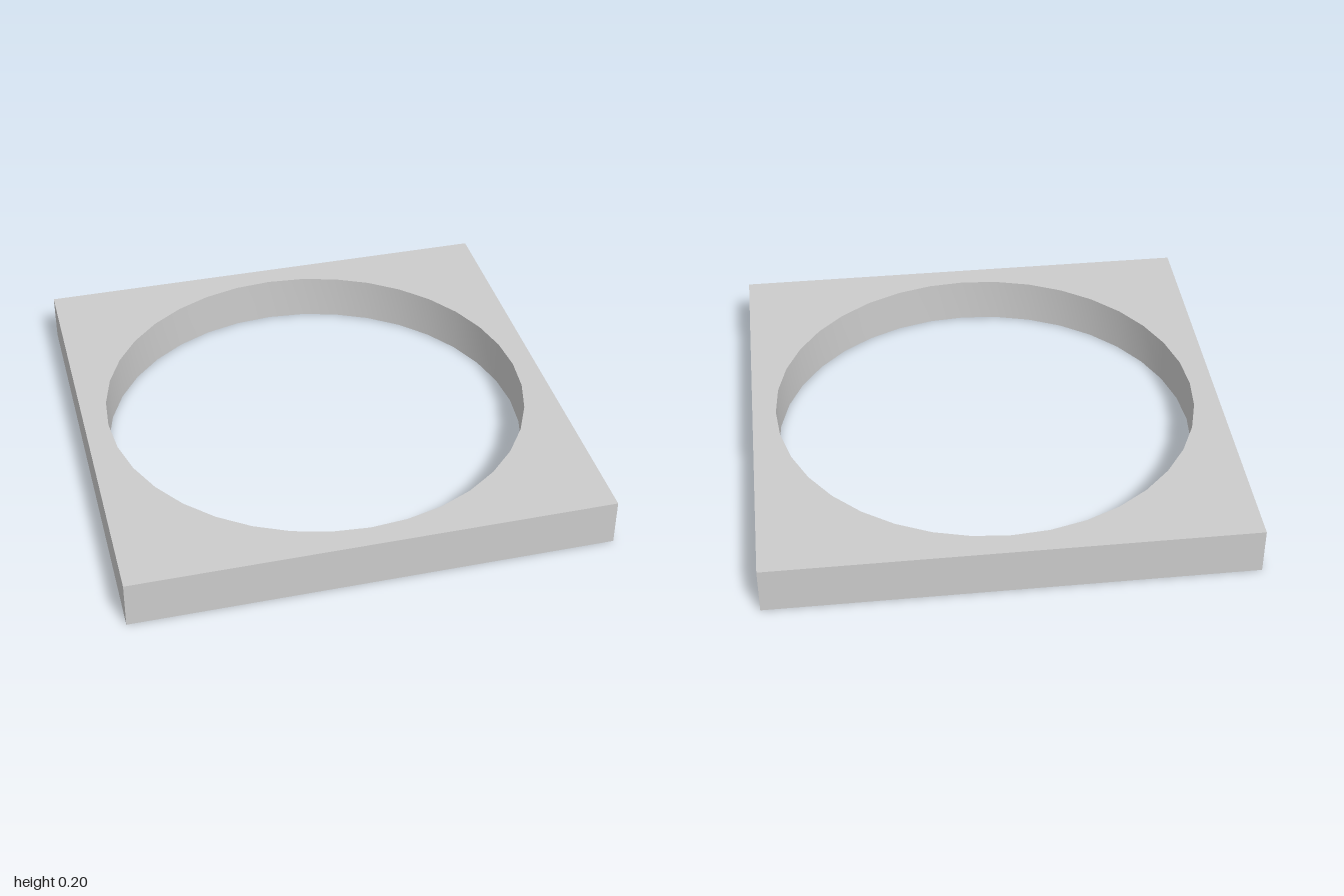
import * as THREE from 'three';
import { toCreasedNormals } from 'three/addons/utils/BufferGeometryUtils.js';

const SIZE = 2, THICKNESS = 0.2, HOLE_RADIUS = 0.9, HOLE_SIDES = 36;

export function createModel() {
  const group = new THREE.Group();
  group.name = 'squarePlateWithHole';

  // Square outline
  const h = SIZE / 2;
  const outline = new THREE.Shape();
  outline.moveTo(-h, -h).lineTo(h, -h).lineTo(h, h).lineTo(-h, h).closePath();

  // Round opening
  const opening = [];
  for (let i = 0; i < HOLE_SIDES; i++) {
    const a = -(i / HOLE_SIDES) * Math.PI * 2;
    opening.push(new THREE.Vector2(HOLE_RADIUS * Math.cos(a), HOLE_RADIUS * Math.sin(a)));
  }
  outline.holes.push(new THREE.Path(opening));

  // Lay the plate flat on y = 0, with a smooth hole wall and sharp rims
  const geometry = new THREE.ExtrudeGeometry(outline, { depth: THICKNESS, bevelEnabled: false });
  geometry.rotateX(-Math.PI / 2);
  const plate = new THREE.Mesh(
    toCreasedNormals(geometry, Math.PI / 6),
    new THREE.MeshStandardMaterial({ color: 0xcccccc })
  );
  plate.name = 'plate';
  group.add(plate);
  return group;
}
